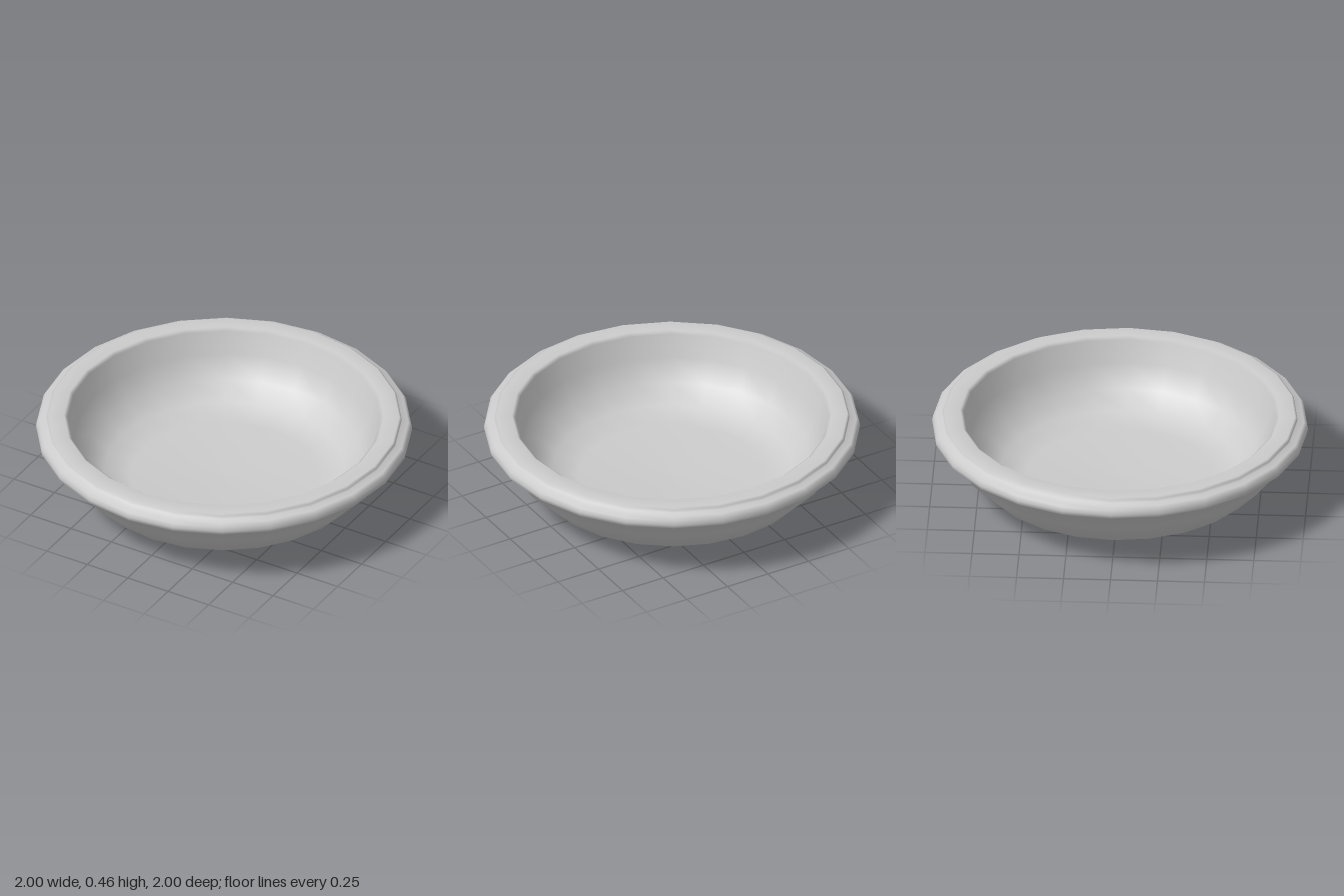
import * as THREE from 'three';

const SIDES = 24;

export function createModel() {
  const group = new THREE.Group();
  group.name = 'dish';
  const material = new THREE.MeshStandardMaterial({ color: 0xcccccc });

  // Closed cross-section, from the underside centre round to the floor centre
  const profile = [
    // underside and outer wall
    [0, 0], [0.56, 0], [0.745, 0.1], [0.87, 0.23], [0.945, 0.355],
    // rolled rim
    [0.98, 0.355], [0.997, 0.37], [1, 0.39], [0.995, 0.415], [0.98, 0.43],
    // raised lip
    [0.945, 0.434], [0.944, 0.45], [0.932, 0.46], [0.85, 0.46], [0.832, 0.445],
    // inner wall and floor
    [0.8, 0.32], [0.735, 0.2], [0.64, 0.12], [0.5, 0.08], [0, 0.07],
  ].map(([r, y]) => new THREE.Vector2(r, y));

  const bowl = new THREE.Mesh(new THREE.LatheGeometry(profile, SIDES), material);
  bowl.name = 'bowl';
  group.add(bowl);
  return group;
}
